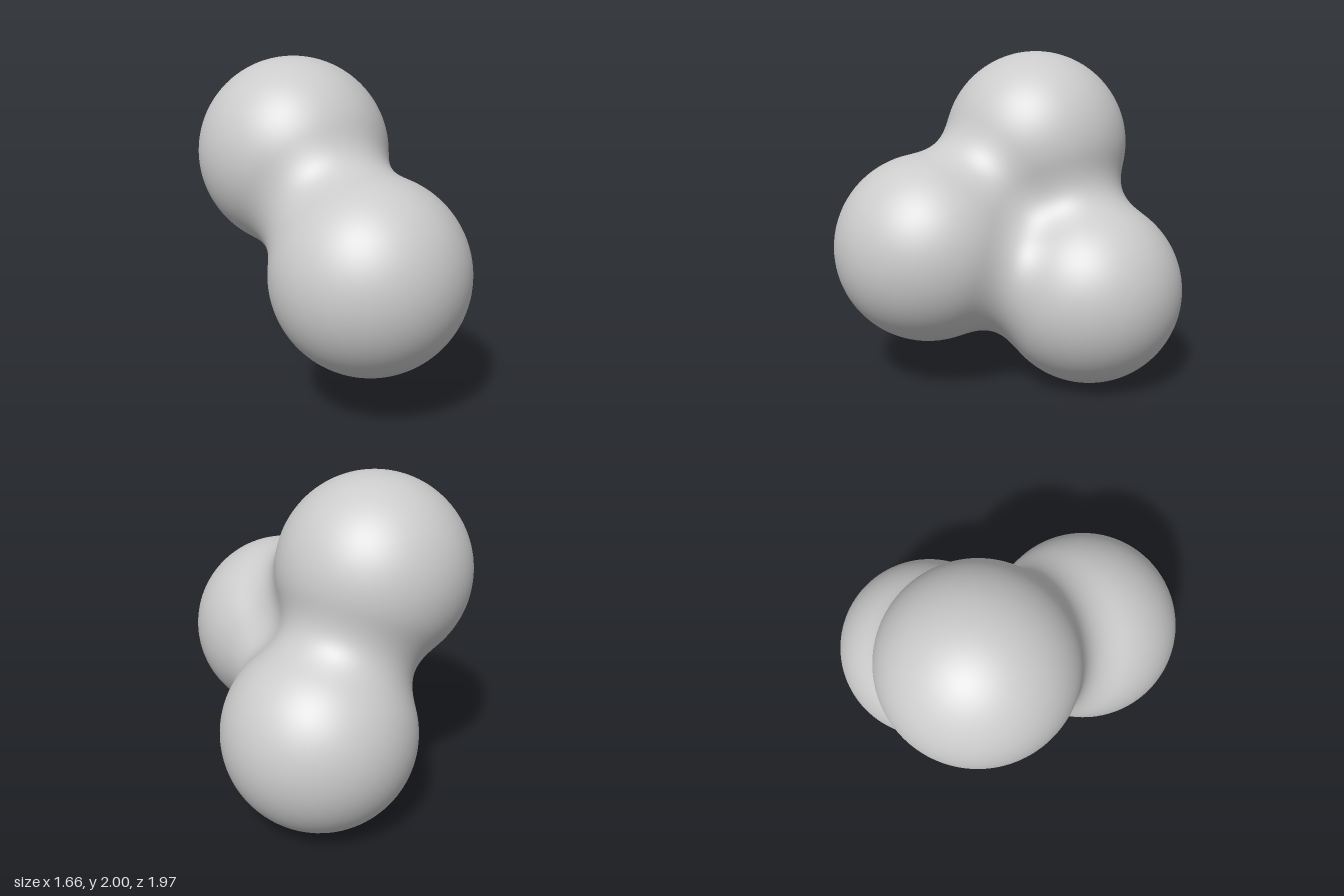
import * as THREE from 'three';

const RADIUS = 0.573; // visible radius of each ball
const REACH = 0.87; // distance at which a ball stops blending
const balls = [
  new THREE.Vector3(-0.245, 1.427, -0.35), // top
  new THREE.Vector3(-0.257, 0.845, 0.412), // front
  new THREE.Vector3(0.257, 0.573, -0.415), // lower back
];
const falloff = (d2) => Math.max(0, 1 - d2 / REACH ** 2) ** 3;
const threshold = falloff(RADIUS ** 2);

// Blended field: positive inside the body
const field = (p) => balls.reduce((sum, c) => sum + falloff(p.distanceToSquared(c)), -threshold);

// Outward normal, from the slope of the field
function fieldNormal(p) {
  const n = new THREE.Vector3();
  for (const c of balls) {
    const w = Math.max(0, 1 - p.distanceToSquared(c) / REACH ** 2) ** 2;
    n.addScaledVector(p.clone().sub(c), w);
  }
  return n.normalize();
}

export function createModel() {
  const group = new THREE.Group();
  group.name = 'blendedBalls';

  const middle = new THREE.Vector3();
  balls.forEach((c) => middle.addScaledVector(c, 1 / balls.length));

  // Shrink a fine sphere onto the blended surface along rays from the middle
  const geometry = new THREE.IcosahedronGeometry(1, 36);
  const pos = geometry.attributes.position;
  const nor = geometry.attributes.normal;
  const dir = new THREE.Vector3();
  const p = new THREE.Vector3();
  const at = (t) => p.copy(middle).addScaledVector(dir, t);
  for (let i = 0; i < pos.count; i++) {
    dir.fromBufferAttribute(pos, i).normalize();
    let outer = 1.3;
    while (outer > 0.02 && field(at(outer - 0.02)) < 0) outer -= 0.02;
    let inner = outer - 0.02;
    for (let k = 0; k < 12; k++) {
      const mid = (inner + outer) / 2;
      if (field(at(mid)) < 0) outer = mid;
      else inner = mid;
    }
    at(inner);
    const n = fieldNormal(p);
    pos.setXYZ(i, p.x, p.y, p.z);
    nor.setXYZ(i, n.x, n.y, n.z);
  }

  const body = new THREE.Mesh(geometry, new THREE.MeshStandardMaterial({ color: 0xcccccc }));
  body.name = 'body';
  group.add(body);
  return group;
}
